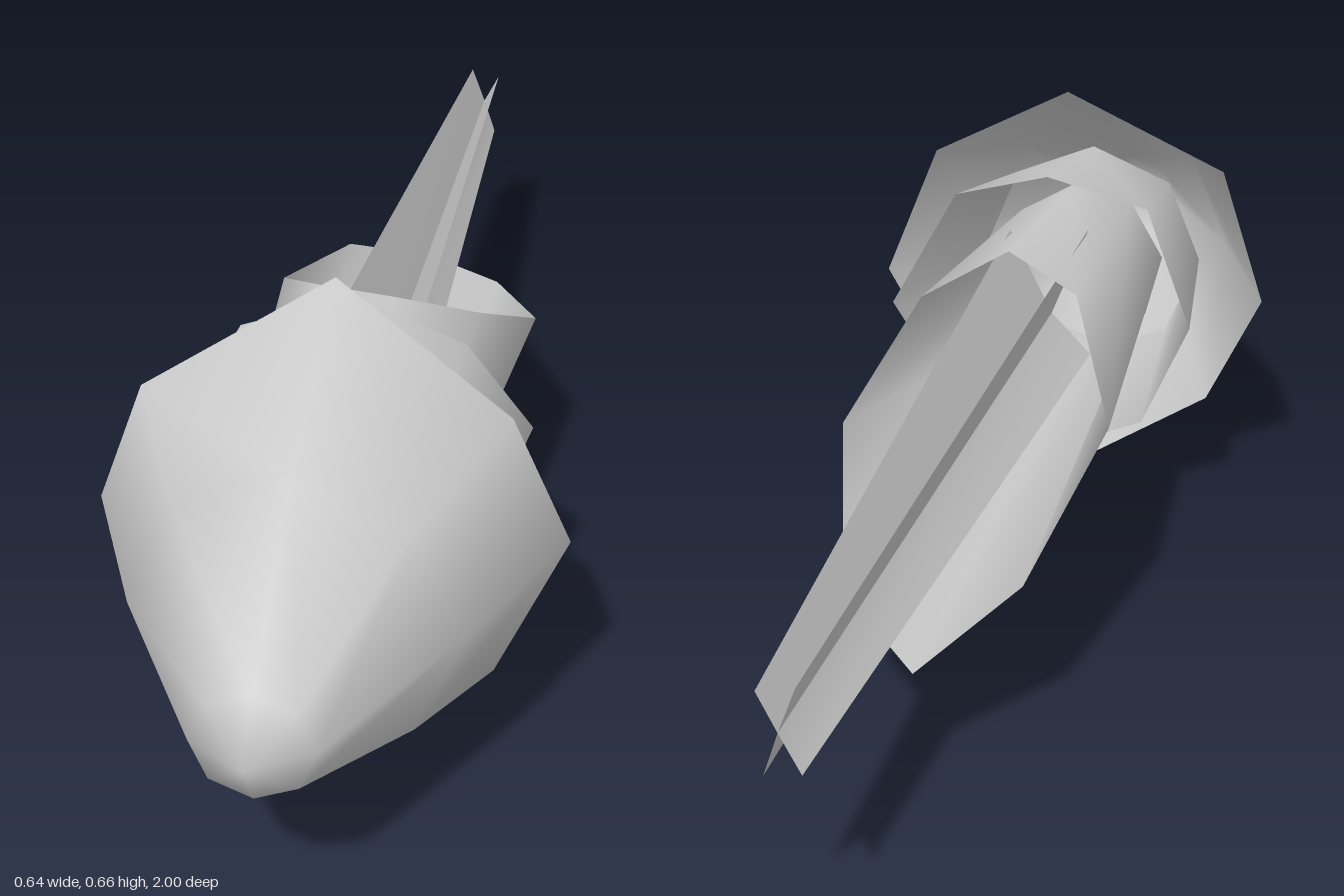
import * as THREE from 'three';
import { mergeVertices } from 'three/addons/utils/BufferGeometryUtils.js';

const grey = new THREE.MeshStandardMaterial({ color: 0xc8c8c8, side: THREE.DoubleSide });
grey.name = 'plain grey';

// Regular ring of eight points around the long axis, starting at the top and turning toward +x
function ring(r, y, z, turn = 0) {
  return Array.from({ length: 8 }, (_, i) => {
    const a = i * Math.PI / 4 + turn;
    return [r * Math.sin(a), y + r * Math.cos(a), z];
  });
}

// Jagged ring from the five points of the +x half (top to bottom), mirrored
function mirroredRing(half) {
  return [...half, ...half.slice(1, 4).reverse().map(([x, y, z]) => [-x, y, z])];
}

// Open smooth shell through rings listed from front to back
function shell(name, rings) {
  const index = [], n = 8;
  for (let k = 0; k < rings.length - 1; k++) {
    for (let i = 0; i < n; i++) {
      const a = k * n + i, b = k * n + (i + 1) % n;
      index.push(a, a + n, b, b, a + n, b + n);
    }
  }
  let geo = new THREE.BufferGeometry();
  geo.setAttribute('position', new THREE.Float32BufferAttribute(rings.flat(2), 3));
  geo.setIndex(index);
  geo = mergeVertices(geo);
  geo.computeVertexNormals();
  const mesh = new THREE.Mesh(geo, grey);
  mesh.name = name;
  return mesh;
}

// Flat tapering blade from the stem's axis out to its edge
function blade(name, axis, edge) {
  const geo = new THREE.BufferGeometry();
  const points = [axis[0], axis[1], edge[1], edge[0]];
  geo.setAttribute('position', new THREE.Float32BufferAttribute(points.flat(), 3));
  geo.setIndex([0, 1, 2, 0, 2, 3]);
  geo.computeVertexNormals();
  const mesh = new THREE.Mesh(geo, grey);
  mesh.name = name;
  return mesh;
}

export function createModel() {
  const model = new THREE.Group();
  model.name = 'bud';

  // Pointed outer cap with a jagged flared rim
  model.add(shell('outerCap', [
    ring(0, 0.32, 1),
    ring(0.078, 0.32, 0.953),
    ring(0.217, 0.327, 0.71),
    mirroredRing([[0, 0.662, 0.42], [0.245, 0.522, 0.5], [0.322, 0.316, 0.463],
      [0.228, 0.119, 0.5], [0, 0, 0.42]]),
  ]));

  // Middle collar peeking out of the cap
  model.add(shell('middleCollar', [
    ring(0.188, 0.325, 0.62),
    mirroredRing([[0, 0.56, 0.283], [0.157, 0.512, 0.305], [0.243, 0.345, 0.233],
      [0.155, 0.147, 0.305], [0, 0.09, 0.283]]),
  ]));

  // Inner sleeve, cut off at a slant and slightly twisted
  model.add(shell('innerSleeve', [
    ring(0.138, 0.328, 0.55, 0.14),
    [[0.025, 0.483, 0.137], [0.143, 0.425, 0.06], [0.2, 0.3, -0.16], [0.1, 0.19, -0.47],
      [-0.04, 0.157, -0.61], [-0.155, 0.235, -0.48], [-0.2, 0.335, -0.16], [-0.1, 0.45, 0.06]],
  ]));

  // Stem of four crossed blades, tapering to the rear
  const stem = new THREE.Group();
  stem.name = 'stem';
  const axis = [[0, 0.318, 0.32], [0.002, 0.285, -1]];
  const edges = {
    upperRightBlade: [[-0.06, 0.467, 0.32], [-0.021, 0.346, -1]],
    upperLeftBlade: [[0.07, 0.455, 0.32], [0.028, 0.336, -1]],
    lowerLeftBlade: [[0.055, 0.242, 0.32], [0.022, 0.225, -1]],
    lowerRightBlade: [[-0.065, 0.252, 0.32], [-0.026, 0.233, -1]],
  };
  for (const [name, edge] of Object.entries(edges)) stem.add(blade(name, axis, edge));
  model.add(stem);

  return model;
}
